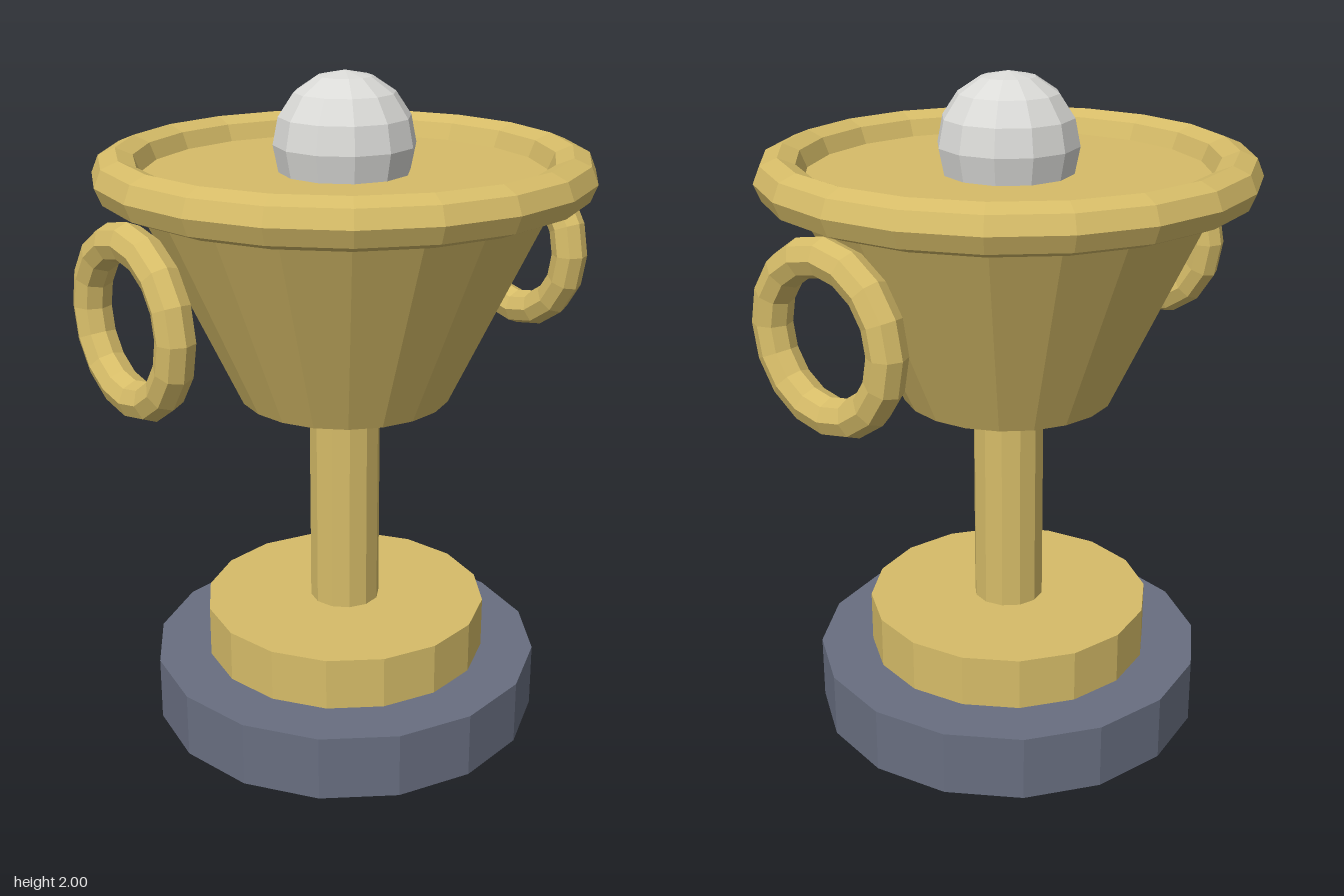
import * as THREE from 'three';

export function createModel() {
  const model = new THREE.Group();
  model.name = 'trophy';

  const flat = (name, color) => {
    const m = new THREE.MeshStandardMaterial({ color, flatShading: true });
    m.name = name;
    return m;
  };
  const gold = flat('gold', 0xd6bc68);
  const slate = flat('slate', 0x686e80);
  const silver = flat('silver', 0xdadad7);

  const add = (name, geometry, material, x, y) => {
    const mesh = new THREE.Mesh(geometry, material);
    mesh.name = name;
    mesh.position.set(x, y, 0);
    model.add(mesh);
    return mesh;
  };
  // Round part standing between two heights
  const drum = (name, rTop, rBottom, y0, y1, sides, material) =>
    add(name, new THREE.CylinderGeometry(rTop, rBottom, y1 - y0, sides), material, 0, (y0 + y1) / 2);

  // Foot and stem
  drum('base', 0.6, 0.6, 0, 0.2, 16, slate);
  drum('pedestal', 0.437, 0.437, 0.2, 0.36, 16, gold);
  drum('stem', 0.108, 0.108, 0.36, 1.04, 12, gold);

  // Cup with a flat top recessed inside the rim
  drum('cup', 0.635, 0.318, 1.04, 1.715, 20, gold);
  add('rim', new THREE.TorusGeometry(0.654, 0.07, 8, 20), gold, 0, 1.715).rotation.x = Math.PI / 2;

  // Ball resting in the cup
  add('ball', new THREE.SphereGeometry(0.207, 12, 8), silver, 0, 1.793);

  // Ring handles on both sides
  for (const side of [1, -1]) {
    const ring = add(side > 0 ? 'leftHandle' : 'rightHandle',
      new THREE.TorusGeometry(0.218, 0.055, 8, 16), gold, side * 0.717, 1.396);
    ring.rotation.y = Math.PI / 2;
  }
  return model;
}
